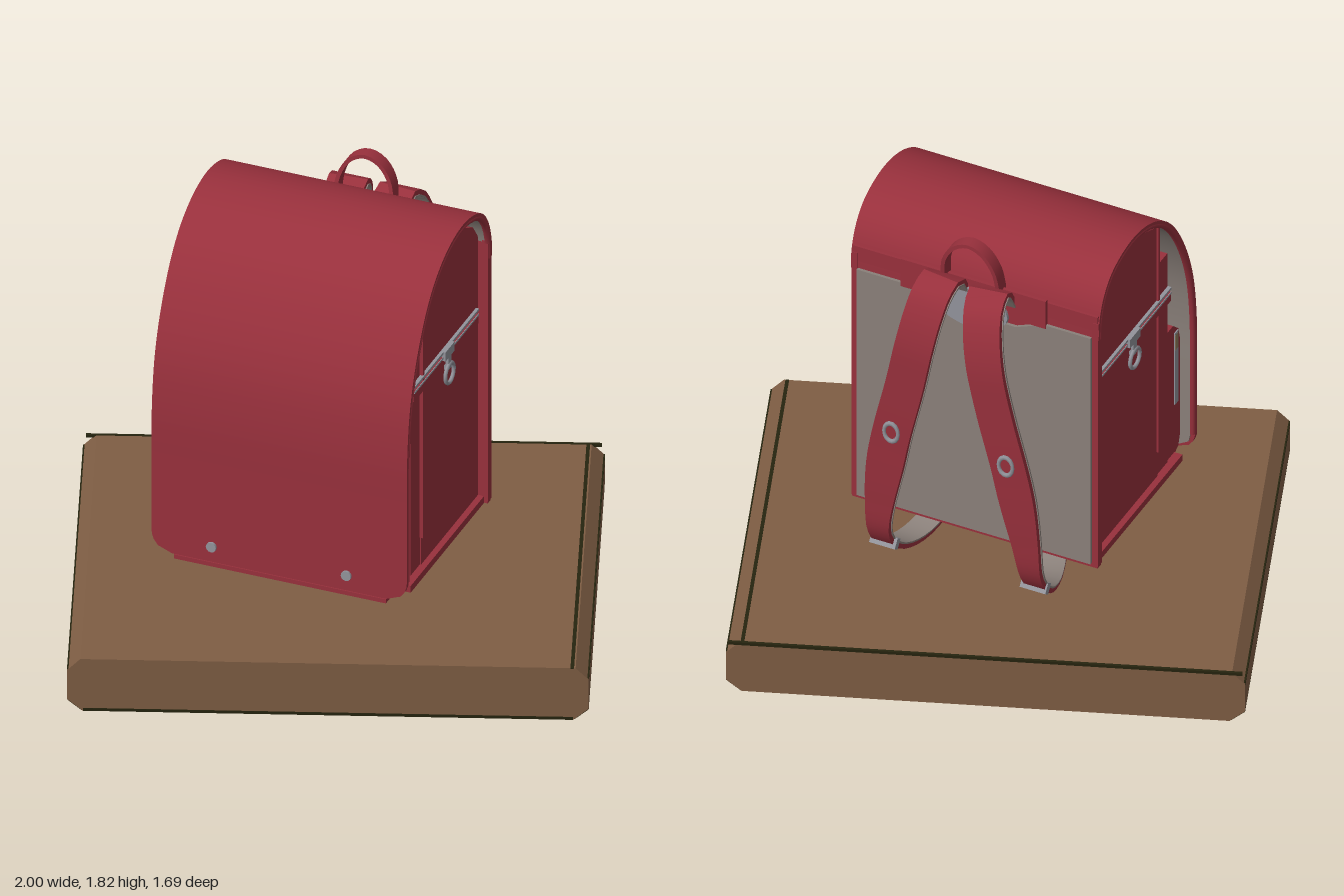
import * as THREE from 'three';
import { toCreasedNormals } from 'three/addons/utils/BufferGeometryUtils.js';

const mat = (name, color) => Object.assign(new THREE.MeshStandardMaterial({ color }), { name });
const V = (x, y, z) => new THREE.Vector3(x, y, z);

export function createModel() {
  const red = mat('red leather', 0x98303c);
  const lining = mat('grey lining', 0x8a807a);
  const metal = mat('metal', 0x92939b);
  const brass = mat('zip tape', 0x8f7c5c);
  const wood = mat('wood', 0x7f5e44);
  const dark = mat('dark edge', 0x26240f);

  const model = new THREE.Group();
  const bag = new THREE.Group();
  bag.name = 'schoolBag';
  bag.position.set(-0.05, 0, 0.107);
  bag.rotation.y = -0.358;
  model.add(bag);

  const add = (parent, name, geo, material, x = 0, y = 0, z = 0) => {
    const mesh = new THREE.Mesh(geo, material);
    mesh.name = name;
    mesh.position.set(x, y, z);
    parent.add(mesh);
    return mesh;
  };
  const box = (parent, name, m, w, h, d, x, y, z) =>
    add(parent, name, new THREE.BoxGeometry(w, h, d), m, x, y, z);

  // Flat band swept along a path: n0..n1 is its thickness range, width(t) its width
  const band = (points, n0, n1, width, segments, lateral = V(1, 0, 0), crease = 0.5) => {
    const curve = new THREE.CatmullRomCurve3(points, false, 'centripetal');
    const pos = [], idx = [];
    for (let i = 0; i <= segments; i++) {
      const u = i / segments, p = curve.getPointAt(u), t = curve.getTangentAt(u);
      const l = lateral.clone().addScaledVector(t, -lateral.dot(t)).normalize();
      const n = t.clone().cross(l), w = width(u) / 2;
      for (const [a, b] of [[-w, n0], [w, n0], [w, n1], [-w, n1]]) {
        const q = p.clone().addScaledVector(l, a).addScaledVector(n, b);
        pos.push(q.x, q.y, q.z);
      }
      if (i === segments) continue;
      for (let k = 0; k < 4; k++) {
        const a = i * 4 + k, b = i * 4 + (k + 1) % 4;
        idx.push(a, b, b + 4, a, b + 4, a + 4);
      }
    }
    const e = segments * 4;
    idx.push(0, 3, 2, 0, 2, 1, e, e + 1, e + 2, e, e + 2, e + 3);
    const geo = new THREE.BufferGeometry();
    geo.setAttribute('position', new THREE.Float32BufferAttribute(pos, 3));
    geo.setIndex(idx);
    return toCreasedNormals(geo, crease);
  };

  // Block with a side outline given as [z, y], extruded across x
  const sideBlock = (outline, width) => {
    const shape = new THREE.Shape(outline.map(([z, y]) => new THREE.Vector2(z, y)));
    const geo = new THREE.ExtrudeGeometry(shape, { depth: width, bevelEnabled: false });
    geo.translate(0, 0, -width / 2).rotateY(-Math.PI / 2);
    return toCreasedNormals(geo, 0.4);
  };

  // Wooden plinth with chamfered long edges
  const plinth = new THREE.Shape([[-0.94, 0], [0.94, 0], [1, 0.05], [1, 0.18], [0.95, 0.23],
    [-0.95, 0.23], [-1, 0.18], [-1, 0.05]].map(p => new THREE.Vector2(...p)));
  const slab = new THREE.ExtrudeGeometry(plinth, { depth: 1.69, bevelEnabled: false });
  add(model, 'plinth', slab, wood, 0, 0, -0.845);
  box(model, 'plinthBackEdge', dark, 1.98, 0.012, 0.012, 0, 0.226, -0.841);
  box(model, 'plinthRightEdge', dark, 0.014, 0.006, 1.69, 0.937, 0.229, 0);
  box(model, 'plinthFrontLowerEdge', dark, 1.88, 0.012, 0.006, 0, 0.007, 0.844);
  for (const s of [-1, 1]) {
    const edge = box(model, 'plinthLowerEdge', dark, 0.07, 0.006, 1.68, s * 0.971, 0.025, 0);
    edge.rotation.z = s * 0.69;
    box(model, 'plinthSideEdge', dark, 0.006, 0.012, 1.68, s * 0.998, 0.18, 0);
  }

  // Main compartment, middle pocket and front pocket
  add(bag, 'mainCompartment', sideBlock([[-0.4, 0.43], [0.176, 0.43], [0.176, 1.63], [0.06, 1.68],
    [-0.1, 1.715], [-0.25, 1.705], [-0.34, 1.66], [-0.4, 1.58]], 0.97), red);
  add(bag, 'middlePocket', sideBlock([[0.17, 0.43], [0.27, 0.43], [0.27, 1.44], [0.17, 1.44]], 0.96), red);
  add(bag, 'frontPocket', sideBlock([[0.26, 0.43], [0.34, 0.43], [0.375, 0.45], [0.39, 0.5],
    [0.39, 0.95], [0.375, 1.01], [0.33, 1.05], [0.26, 1.05]], 0.95), red);
  box(bag, 'backPanel', red, 1.05, 1.2, 0.03, 0, 1.01, -0.407);
  box(bag, 'bottomPanel', red, 1.02, 0.03, 0.76, 0, 0.425, -0.04);

  // Curved flap from the back, over the top and down the front, with rounded lower corners
  const path = [[1.5, -0.405], [1.58, -0.4], [1.67, -0.365], [1.735, -0.3], [1.775, -0.16], [1.76, -0.02],
    [1.7, 0.108], [1.605, 0.21], [1.44, 0.311], [1.26, 0.376], [1.05, 0.405], [0.8, 0.408], [0.415, 0.408]]
    .map(([y, z]) => V(0, y, z));
  const flapLength = new THREE.CatmullRomCurve3(path, false, 'centripetal').getLength();
  const rounded = (w, r) => u => {
    const d = Math.max(0, r - (1 - u) * flapLength);
    return w - 2 * (r - Math.sqrt(Math.max(0, r * r - d * d)));
  };
  add(bag, 'flap', band(path, 0, 0.018, rounded(1.06, 0.085), 90, V(1, 0, 0), 0.3), red);
  add(bag, 'flapLining', band(path, -0.008, 0, rounded(1.03, 0.085), 45), lining);

  // Rolled trim along both sides of the flap
  for (const s of [-1, 1]) {
    const trim = path.slice(0, -1).map(p => V(s * 0.52, p.y, p.z)).concat([V(s * 0.52, 0.5, 0.408)]);
    add(bag, 'flapTrim', new THREE.TubeGeometry(
      new THREE.CatmullRomCurve3(trim, false, 'centripetal'), 45, 0.013, 6), red);
  }

  // Flap end tucked underneath, with tongue and lock
  box(bag, 'flapFold', red, 0.88, 0.018, 0.16, 0, 0.399, 0.34);
  box(bag, 'flapTongue', red, 0.22, 0.014, 0.5, 0, 0.393, 0.08);
  box(bag, 'lockPlate', metal, 0.3, 0.03, 0.2, 0, 0.39, -0.2);
  const lock = add(bag, 'lockKnob', new THREE.CylinderGeometry(0.045, 0.035, 0.04, 12), metal, 0, 0.36, -0.16);
  lock.scale.x = 1.5;

  // Front rivets
  for (const s of [-1, 1]) {
    const rivet = new THREE.CylinderGeometry(0.021, 0.021, 0.012, 12).rotateX(Math.PI / 2);
    add(bag, 'flapRivet', rivet, metal, s * 0.28, 0.483, 0.43);
  }

  // Padded back and the plate the straps hang from
  const pad = new THREE.Shape([[-0.5, 0.43], [0.5, 0.43], [0.5, 1.51], [0.3, 1.51], [0.18, 1.46],
    [-0.18, 1.46], [-0.3, 1.51], [-0.5, 1.51]].map(p => new THREE.Vector2(...p)));
  add(bag, 'backPad', new THREE.ExtrudeGeometry(pad, { depth: 0.016, bevelEnabled: false }), lining, 0, 0, -0.435);
  box(bag, 'backYoke', red, 0.62, 0.13, 0.014, 0, 1.56, -0.43);
  const plate = new THREE.CylinderGeometry(0.09, 0.09, 0.02, 20).rotateX(Math.PI / 2);
  add(bag, 'strapPlate', plate, metal, 0, 1.5, -0.44).scale.x = 1.7;

  // Carrying handle
  const arch = [[-0.12, 1.6, -0.43], [-0.105, 1.72, -0.45], [-0.06, 1.79, -0.455], [0, 1.815, -0.455],
    [0.06, 1.79, -0.455], [0.105, 1.72, -0.45], [0.12, 1.6, -0.43]].map(p => V(...p));
  add(bag, 'handle', band(arch, -0.008, 0.008, () => 0.055, 24, V(0, 0, 1)), red);

  for (const s of [-1, 1]) {
    // Shoulder strap: wide padded upper part narrowing to the lower webbing
    const strapPath = [[0.1, 1.56, -0.43], [0.1, 1.645, -0.49], [0.11, 1.62, -0.56], [0.125, 1.54, -0.605],
      [0.15, 1.4, -0.635], [0.19, 1.2, -0.635], [0.26, 0.9, -0.625], [0.31, 0.6, -0.61], [0.325, 0.42, -0.585],
      [0.32, 0.31, -0.5], [0.295, 0.265, -0.37], [0.26, 0.3, -0.25], [0.23, 0.4, -0.17]].map(([x, y, z]) => V(s * x, y, z));
    const strapWidth = u => 0.155 - 0.065 * THREE.MathUtils.smoothstep(u, 0.5, 0.75);
    add(bag, 'shoulderStrap', band(strapPath, -0.016, 0.004, strapWidth, 48), red);
    add(bag, 'strapLining', band(strapPath, 0.004, 0.011, u => strapWidth(u) + 0.008, 48), lining);

    // Strap ring, adjuster buckle and lower anchor
    const ring = add(bag, 'strapRing', new THREE.TorusGeometry(0.03, 0.008, 6, 14), metal, s * 0.245, 0.96, -0.652);
    ring.scale.y = 1.4;
    box(bag, 'strapBuckle', metal, 0.11, 0.045, 0.03, s * 0.322, 0.35, -0.55).rotation.x = 0.6;
    box(bag, 'strapAnchor', metal, 0.1, 0.03, 0.08, s * 0.23, 0.395, -0.17);

    // Side band with metal rail, clip and D-ring
    box(bag, 'sideBand', red, 0.012, 0.045, 0.64, s * 0.489, 1.24, -0.05);
    box(bag, 'sideRail', metal, 0.016, 0.01, 0.64, s * 0.49, 1.28, -0.05);
    box(bag, 'sideRailLower', metal, 0.016, 0.008, 0.64, s * 0.49, 1.258, -0.05);
    box(bag, 'sideClip', metal, 0.024, 0.04, 0.09, s * 0.495, 1.265, -0.06);
    box(bag, 'ringLoop', metal, 0.02, 0.06, 0.03, s * 0.497, 1.22, -0.06);
    const dRing = new THREE.TorusGeometry(0.042, 0.008, 6, 16).rotateY(Math.PI / 2);
    add(bag, 'dRing', dRing, metal, s * 0.505, 1.17, -0.06);

    // Pocket zip and raised seams on the side
    box(bag, 'pocketZip', metal, 0.008, 0.34, 0.032, s * 0.476, 0.84, 0.352);
    box(bag, 'pocketZipTape', brass, 0.008, 0.07, 0.028, s * 0.4765, 0.965, 0.352);
    box(bag, 'sideSeam', red, 0.02, 1.08, 0.012, s * 0.484, 1.1, 0.172);
    box(bag, 'backPiping', red, 0.025, 1.16, 0.035, s * 0.515, 1, -0.407);
  }
  return model;
}
